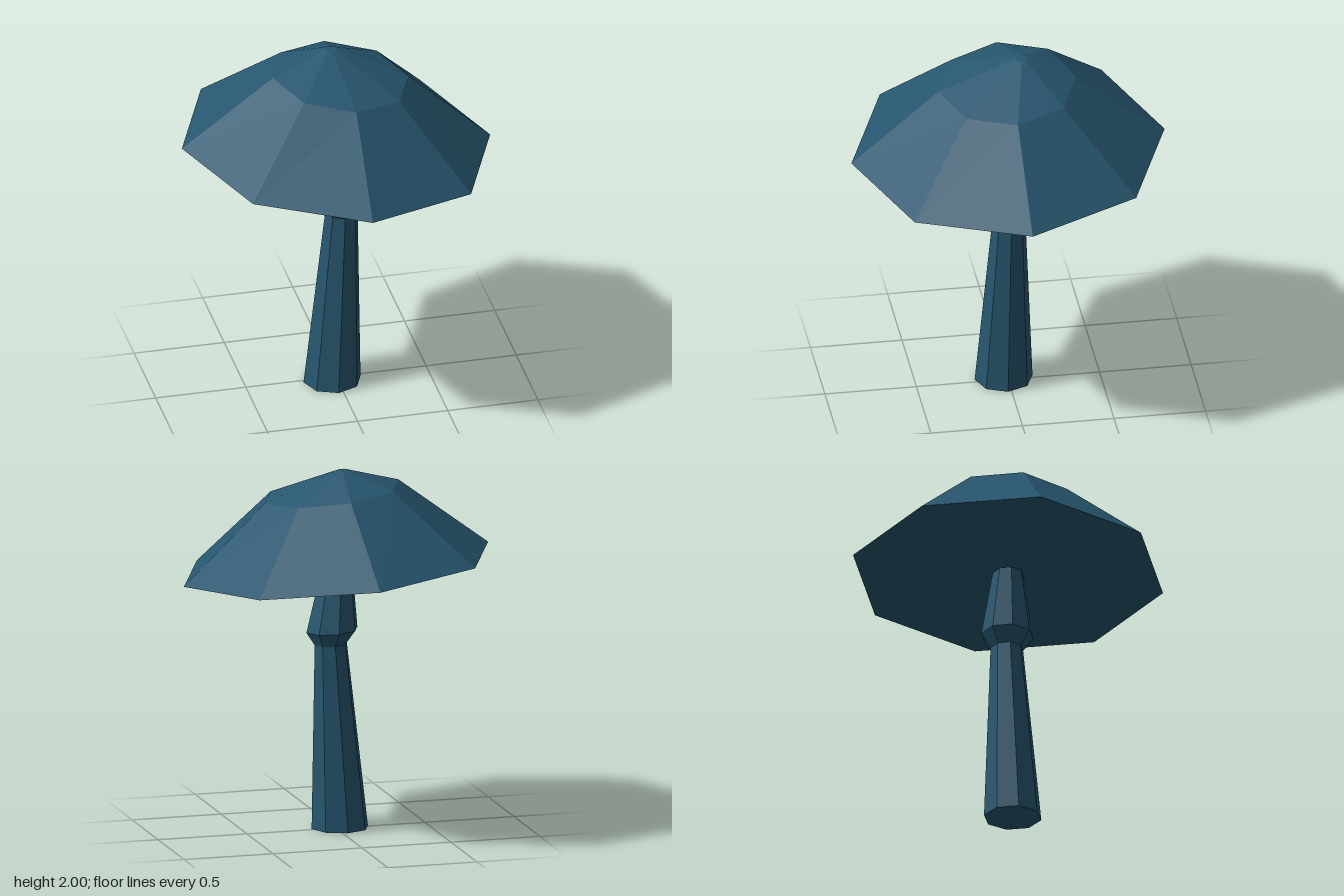
import * as THREE from 'three';

const SIDES = 8;

// Ring: centre x, y, z, radius, and how much y changes per unit of x and z (tilt)
function ringPoints([cx, cy, cz, r, tiltX, tiltZ]) {
  return Array.from({ length: SIDES }, (_, i) => {
    const a = (i / SIDES) * Math.PI * 2;
    const dx = Math.sin(a) * r, dz = Math.cos(a) * r;
    return [cx + dx, cy + dx * tiltX + dz * tiltZ, cz + dz];
  });
}

// Closed faceted solid through rings listed from bottom to top
function loft(name, rings, material) {
  const loops = rings.map(ringPoints);
  const pos = [];
  const tri = (a, b, c) => pos.push(...a, ...b, ...c);
  const last = loops.length - 1;
  const bottom = rings[0].slice(0, 3), top = rings[last].slice(0, 3);
  for (let i = 0; i < SIDES; i++) {
    const j = (i + 1) % SIDES;
    for (let k = 0; k < last; k++) {
      const lo = loops[k], hi = loops[k + 1];
      tri(lo[i], lo[j], hi[j]);
      tri(lo[i], hi[j], hi[i]);
    }
    tri(bottom, loops[0][j], loops[0][i]);
    tri(top, loops[last][i], loops[last][j]);
  }
  const geometry = new THREE.BufferGeometry();
  geometry.setAttribute('position', new THREE.Float32BufferAttribute(pos, 3));
  geometry.computeVertexNormals();
  const mesh = new THREE.Mesh(geometry, material);
  mesh.name = name;
  return mesh;
}

export function createModel() {
  const blue = new THREE.MeshStandardMaterial({ color: 0x27566f, flatShading: true });
  blue.name = 'deep blue';

  const group = new THREE.Group();
  group.name = 'mushroom';

  // Leaning stem with a collar below the cap
  group.add(loft('stem', [
    [-0.027, 0, 0.02, 0.158, 0, 0],
    [0.03, 1.025, 0, 0.09, -0.06, 0],
    [0.023, 1.10, 0, 0.143, -0.06, -0.02],
    [-0.005, 1.455, 0, 0.085, -0.08, -0.035],
  ], blue));

  // Tilted cap with a flat underside
  group.add(loft('cap', [
    [0, 1.46, 0, 0.855, -0.082, -0.035],
    [0.022, 1.863, 0.008, 0.375, -0.113, -0.04],
    [-0.008, 1.996, -0.073, 0.032, -0.113, -0.04],
  ], blue));

  return group;
}
